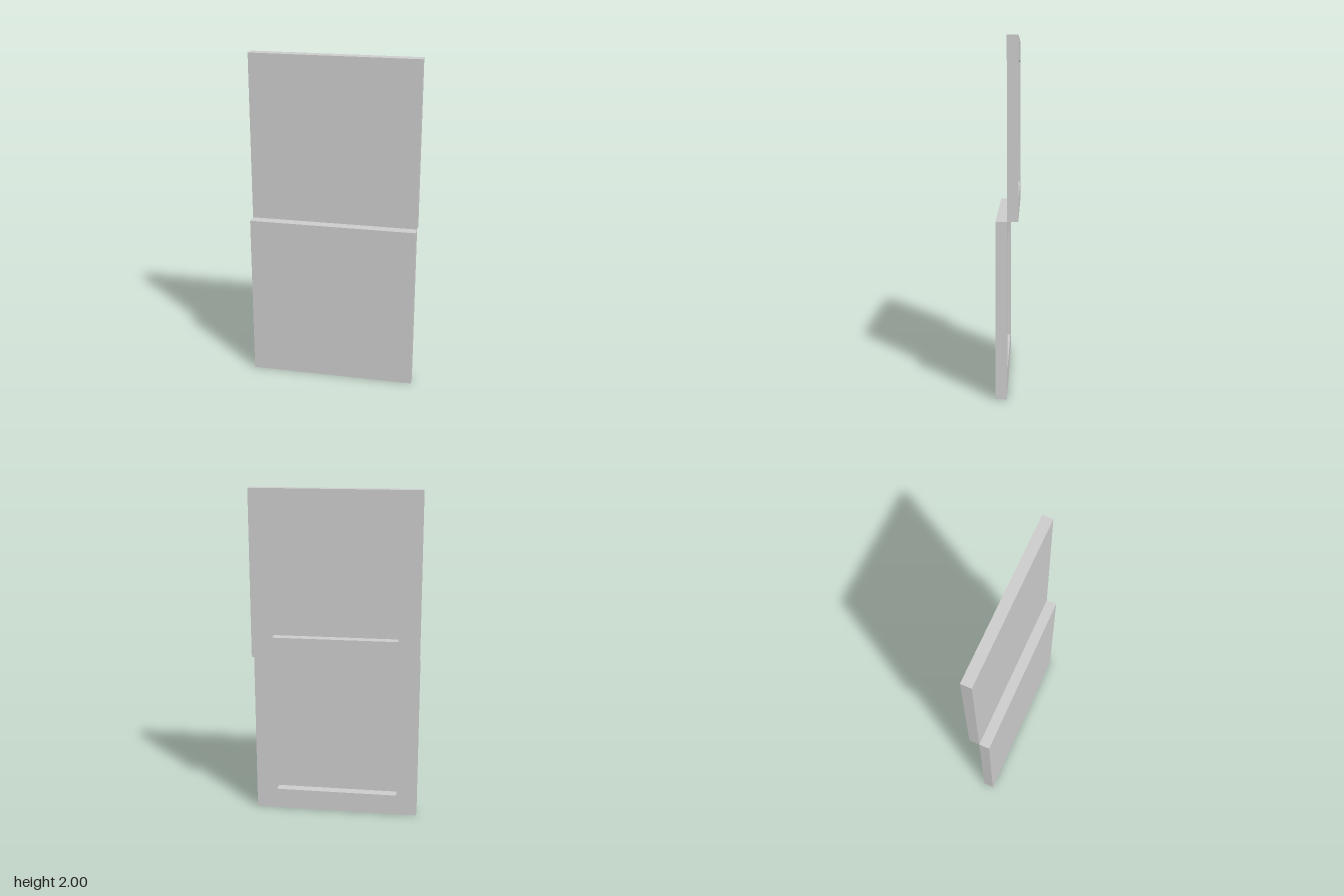
import * as THREE from 'three';

const SIZE = 1, THICK = 0.0625, RIM = 0.125, SKIN = 0.002;

function square(PathType, h) {
  return new PathType([[-h, -h], [h, -h], [h, h], [-h, h]].map(([x, y]) => new THREE.Vector2(x, y)));
}

// Square panel with a plain front and a deep recess in the back; its back lies on local z = 0
function makePanel(name, material) {
  const panel = new THREE.Group();
  panel.name = name;

  // Rim around the recess
  const shape = square(THREE.Shape, SIZE / 2);
  shape.holes.push(square(THREE.Path, SIZE / 2 - RIM));
  const rim = new THREE.Mesh(
    new THREE.ExtrudeGeometry(shape, { depth: THICK - SKIN, bevelEnabled: false }), material);
  rim.name = 'rim';

  // Thin front sheet that closes the recess
  const sheet = new THREE.Mesh(new THREE.BoxGeometry(SIZE, SIZE, SKIN), material);
  sheet.name = 'frontSheet';
  sheet.position.z = THICK - SKIN / 2;

  panel.add(rim, sheet);
  return panel;
}

export function createModel() {
  const model = new THREE.Group();
  model.name = 'steppedPanels';
  const material = new THREE.MeshStandardMaterial({ color: 0xcccccc, flatShading: true });

  // Lower panel stands one thickness in front of the upper one
  const lower = makePanel('lowerPanel', material);
  lower.position.set(0, SIZE / 2, 0);
  const upper = makePanel('upperPanel', material);
  upper.position.set(0, SIZE * 1.5, -THICK);

  model.add(lower, upper);
  return model;
}
